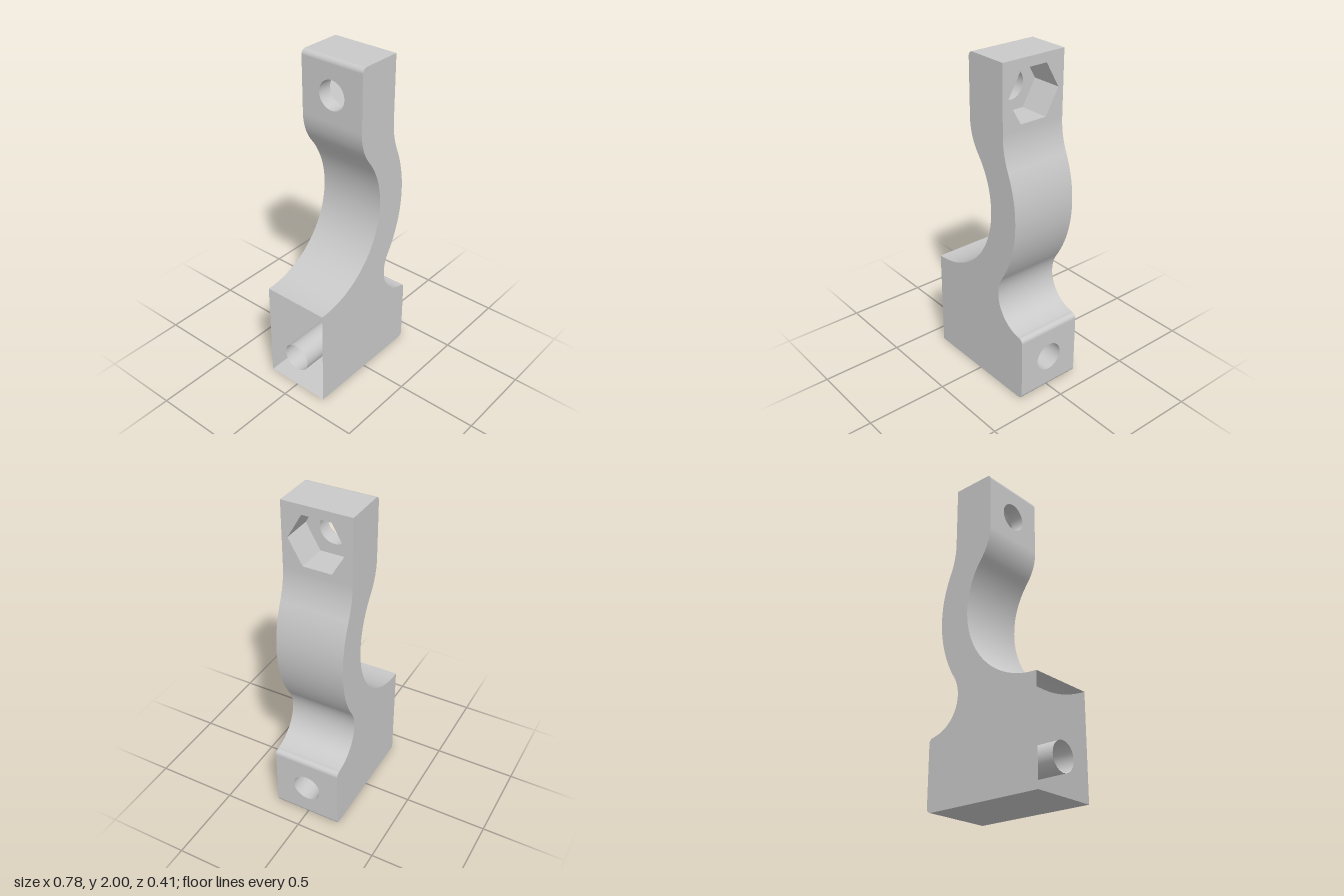
import * as THREE from 'three';

const HALF = 0.207;      // half thickness in z
const BORE = 0.087;      // bolt hole radius
const NUT = 0.172;       // nut pocket corner radius
const LOW = 0.211, HIGH = 1.795; // heights of the two bolt axes
const LEFT = -0.388, RIGHT = 0.388;
const HEAD_LEFT = -0.057, HEAD_RIGHT = 0.219;
const POCKET_FLOOR = 0.032;
const BOW_Y = 1.13, INNER_R = 0.505, OUTER_R = 0.71; // bow arcs, centred on x = LEFT

// A profile piece is a list of { x, y, nx, ny }; its surface faces right of travel.
function line(x0, y0, x1, y1) {
  const l = Math.hypot(x1 - x0, y1 - y0);
  const nx = (y1 - y0) / l, ny = (x0 - x1) / l;
  return [{ x: x0, y: y0, nx, ny }, { x: x1, y: y1, nx, ny }];
}

function arc(cx, cy, r, from, to, steps = 32) {
  const s = to > from ? 1 : -1;
  return Array.from({ length: steps + 1 }, (_, i) => {
    const a = THREE.MathUtils.degToRad(from + ((to - from) * i) / steps);
    const c = Math.cos(a), d = Math.sin(a);
    return { x: cx + r * c, y: cy + r * d, nx: s * c, ny: s * d };
  });
}

// Arc of radius r that touches a bow arc at the given angle
function blend(bowR, angle, r, from, to) {
  const a = THREE.MathUtils.degToRad(angle);
  return arc(LEFT + (bowR + r) * Math.cos(a), BOW_Y + (bowR + r) * Math.sin(a), r, from, to);
}

// Radius with which such an arc also touches the upright line at x
function neckRadius(bowR, angle, x) {
  const c = Math.cos(THREE.MathUtils.degToRad(angle));
  return (LEFT + bowR * c - x) / (1 - c);
}

// Chains pieces that run smoothly into each other
const join = (...pieces) => pieces.flatMap((p, i) => (i ? p.slice(1) : p));

// Sweeps a profile piece straight from z0 to z1
function sweep(piece, z0, z1) {
  const pos = [], nor = [], idx = [];
  piece.forEach((p, i) => {
    pos.push(p.x, p.y, z0, p.x, p.y, z1);
    nor.push(p.nx, p.ny, 0, p.nx, p.ny, 0);
    if (i) {
      const a = 2 * i - 2;
      idx.push(a, a + 2, a + 3, a, a + 3, a + 1);
    }
  });
  const g = new THREE.BufferGeometry();
  g.setAttribute('position', new THREE.Float32BufferAttribute(pos, 3));
  g.setAttribute('normal', new THREE.Float32BufferAttribute(nor, 3));
  g.setIndex(idx);
  return g;
}

const circlePath = (y) => new THREE.Path().absarc(0, y, BORE, 0, Math.PI * 2, true);

function hexPoints() {
  return Array.from({ length: 7 }, (_, i) => {
    const a = (-i * Math.PI) / 3;
    return new THREE.Vector2(NUT * Math.cos(a), HIGH + NUT * Math.sin(a));
  });
}

// Upright flat face with a hole, turned to face +x (dir 1) or -x (dir -1)
function drilledFace(outline, hole, x, dir) {
  const shape = new THREE.Shape(outline);
  shape.holes.push(hole);
  return new THREE.ShapeGeometry(shape, 32).rotateY((dir * Math.PI) / 2).translate(x, 0, 0);
}

const rect = (y0, y1) => [[-HALF, y0], [HALF, y0], [HALF, y1], [-HALF, y1]]
  .map(([x, y]) => new THREE.Vector2(x, y));

export function createModel() {
  const group = new THREE.Group();
  // Double sided because the base is an open shell
  const metal = new THREE.MeshStandardMaterial({ color: 0xc9c9c9, side: THREE.DoubleSide });
  metal.name = 'plain grey';
  const add = (name, geometry) => {
    const mesh = new THREE.Mesh(geometry, metal);
    mesh.name = name;
    group.add(mesh);
  };

  // Walls around the outline, counter-clockwise; flat drilled faces fill the gaps
  const walls = {
    baseBottom: join(line(LEFT, 0, 0.358, 0), arc(0.358, 0.03, 0.03, -90, 0, 8)),
    outerWall: join(
      arc(0.358, 0.392, 0.03, 0, 90, 8),
      blend(OUTER_R, -32.8, 0.21, 263, 147.2),
      arc(LEFT, BOW_Y, OUTER_R, -32.8, 24),
      blend(OUTER_R, 24, neckRadius(OUTER_R, 24, HEAD_RIGHT), 204, 180),
    ),
    headTop: join(line(HEAD_RIGHT, 2, HEAD_LEFT + 0.03, 2), arc(HEAD_LEFT + 0.03, 1.97, 0.03, 90, 180, 8)),
    innerWall: join(
      blend(INNER_R, 38, neckRadius(INNER_R, 38, HEAD_LEFT), 180, 218),
      arc(LEFT, BOW_Y, INNER_R, 38, -90, 48),
    ),
  };
  for (const [name, piece] of Object.entries(walls)) add(name, sweep(piece, -HALF, HALF));

  // Flat front and back sides
  const side = new THREE.Shape(Object.values(walls).flat().map((p) => new THREE.Vector2(p.x, p.y)));
  add('frontSide', new THREE.ShapeGeometry(side).translate(0, 0, HALF));
  const back = new THREE.ShapeGeometry(side).translate(0, 0, -HALF);
  back.index.array.reverse();
  back.computeVertexNormals();
  add('backSide', back);

  // Drilled faces; the base is left open at its -x end
  const nutFaceFoot = walls.outerWall.at(-1).y, headFaceFoot = walls.innerWall[0].y;
  add('footFace', drilledFace(rect(0.03, 0.392), circlePath(LOW), RIGHT, 1));
  add('nutFace', drilledFace(rect(nutFaceFoot, 2), new THREE.Path(hexPoints()), HEAD_RIGHT, 1));
  add('headFace', drilledFace(rect(headFaceFoot, 1.97), circlePath(HIGH), HEAD_LEFT, -1));
  add('nutPocketFloor', drilledFace(hexPoints().slice(0, 6), circlePath(HIGH), POCKET_FLOOR, 1));

  // Bores and nut pocket, with walls facing inward
  const bore = (y, x0, x1) => sweep(arc(0, y, BORE, 360, 0, 48), x0, x1).rotateY(Math.PI / 2);
  add('lowerBore', bore(LOW, LEFT, RIGHT));
  add('upperBore', bore(HIGH, HEAD_LEFT, POCKET_FLOOR));
  const hex = hexPoints();
  for (let i = 0; i < 6; i++) {
    const wall = line(hex[i].x, hex[i].y, hex[i + 1].x, hex[i + 1].y);
    add('nutPocketWall', sweep(wall, POCKET_FLOOR, HEAD_RIGHT).rotateY(Math.PI / 2));
  }
  return group;
}
